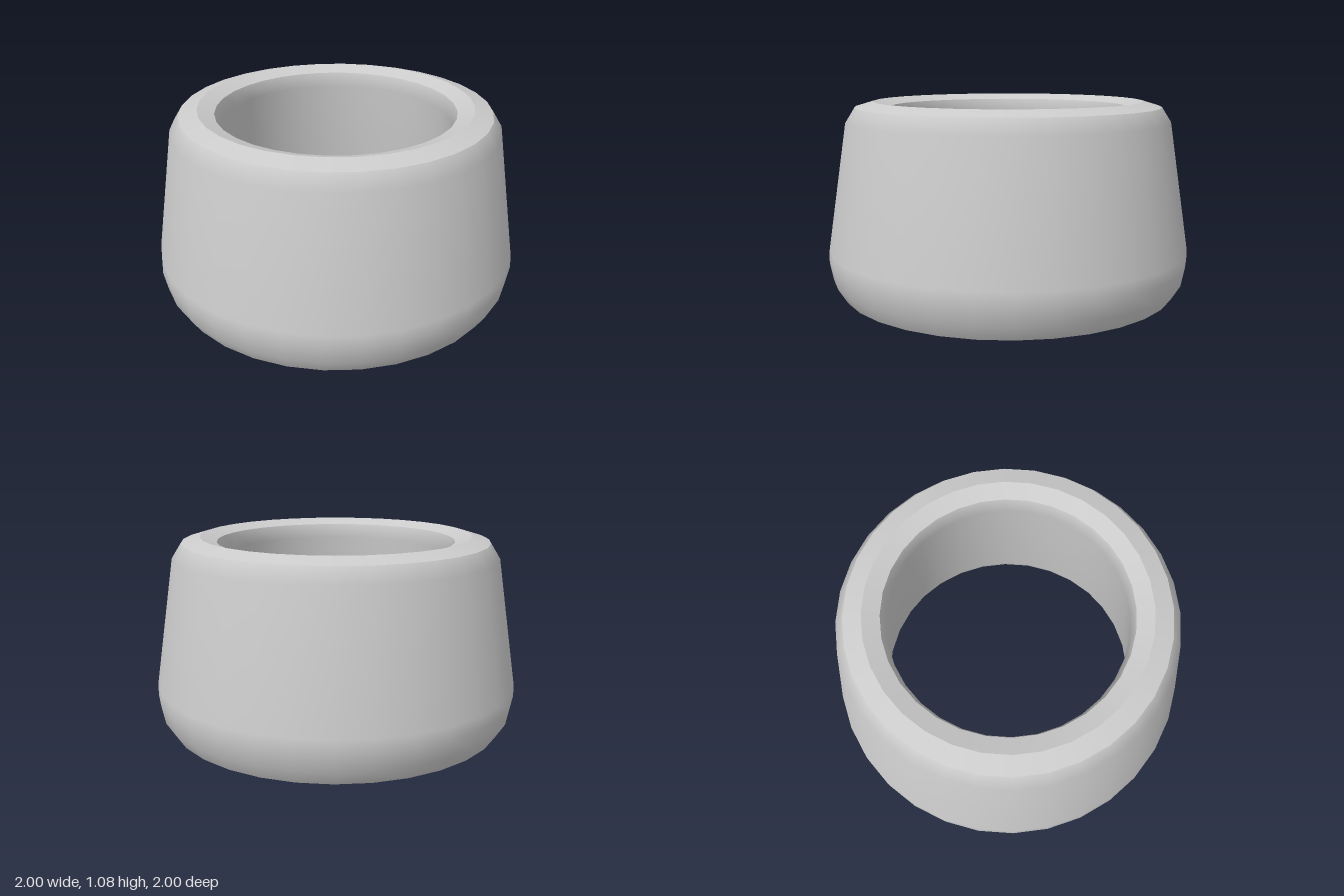
import * as THREE from 'three';

const SEGMENTS = 32;

// Revolves a profile of [radius, height] pairs; smooth within one strip, sharp between strips
function ringStrip(name, profile, material) {
  const points = profile.map(([r, y]) => new THREE.Vector2(r, y));
  const mesh = new THREE.Mesh(new THREE.LatheGeometry(points, SEGMENTS), material);
  mesh.name = name;
  return mesh;
}

export function createModel() {
  const group = new THREE.Group();
  group.name = 'taperedRing';
  const material = new THREE.MeshStandardMaterial({ color: 0xcccccc });

  // Closed cross-section, listed counter-clockwise so every face points outward
  const strips = {
    outerWall: [[0.93, 0.03], [0.98, 0.11], [1, 0.21], [0.998, 0.28], [0.89, 0.97], [0.84, 1.05]],
    topOuterBevel: [[0.84, 1.05], [0.74, 1.08]],
    topInnerBevel: [[0.74, 1.08], [0.65, 1.05]],
    innerWall: [[0.65, 1.05], [0.628, 0.97], [0.73, 0.12], [0.765, 0.03]],
    bottomInnerBevel: [[0.765, 0.03], [0.845, 0]],
    bottomOuterBevel: [[0.845, 0], [0.93, 0.03]],
  };
  for (const [name, profile] of Object.entries(strips)) {
    group.add(ringStrip(name, profile, material));
  }
  return group;
}
